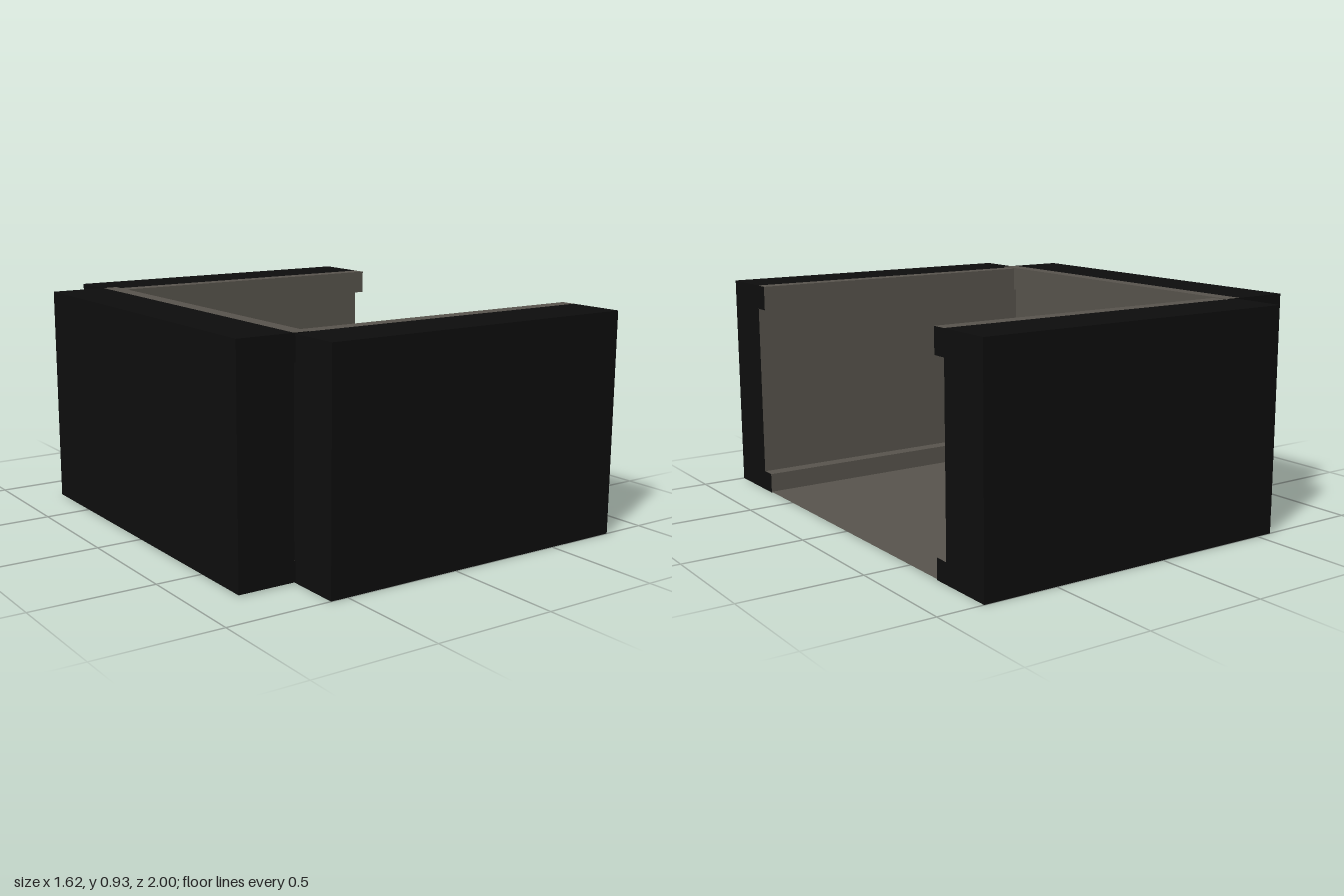
import * as THREE from 'three';
import { mergeGeometries } from 'three/addons/utils/BufferGeometryUtils.js';

const black = new THREE.MeshStandardMaterial({ color: 0x0d0d0d, side: THREE.DoubleSide });
black.name = 'black shell';
const grey = new THREE.MeshStandardMaterial({ color: 0x57534c, side: THREE.DoubleSide });
grey.name = 'warm grey lining';

// Flat strips that follow a (z, y) profile along the x axis
function ribbon(points, length) {
  const pos = [];
  const h = length / 2;
  for (let i = 0; i < points.length - 1; i++) {
    const [az, ay] = points[i];
    const [bz, by] = points[i + 1];
    pos.push(-h, ay, az, -h, by, bz, h, by, bz);
    pos.push(-h, ay, az, h, by, bz, h, ay, az);
  }
  const g = new THREE.BufferGeometry();
  g.setAttribute('position', new THREE.Float32BufferAttribute(pos, 3));
  g.computeVertexNormals();
  return g;
}

// C-shaped wall facing local +z: black outside and ends, grey lining with two lips
function wall(name, length, lip, recess, outer, bottom, top) {
  const lipLow = 0.085, lipHigh = 0.82;
  const shell = [[recess, top], [outer, top], [outer, bottom], [lip, bottom]];
  const lining = [
    [lip, bottom], [lip, lipLow], [recess, lipLow], [recess, lipHigh],
    [lip, lipHigh], [lip, top], [recess, top],
  ];
  const outline = [...shell, ...lining.slice(1, -1)].map(([z, y]) => new THREE.Vector2(z, y));
  const group = new THREE.Group();
  group.name = name;

  const ends = [-1, 1].map((s) => {
    const g = new THREE.ShapeGeometry(new THREE.Shape(outline)).toNonIndexed();
    g.deleteAttribute('uv');
    // turn each cap to face away from the wall's middle
    g.rotateY(-Math.PI / 2);
    if (s > 0) {
      const p = g.attributes.position, n = g.attributes.normal;
      for (let i = 0; i < p.count; i += 3) {
        const b = new THREE.Vector3().fromBufferAttribute(p, i + 1);
        const c = new THREE.Vector3().fromBufferAttribute(p, i + 2);
        p.setXYZ(i + 1, c.x, c.y, c.z);
        p.setXYZ(i + 2, b.x, b.y, b.z);
      }
      for (let i = 0; i < n.count; i++) n.setXYZ(i, 1, 0, 0);
    }
    return g.translate(s * length / 2, 0, 0);
  });

  const shellMesh = new THREE.Mesh(mergeGeometries([ribbon(shell, length), ...ends]), black);
  shellMesh.name = name + 'Shell';
  const liningMesh = new THREE.Mesh(ribbon(lining, length), grey);
  liningMesh.name = name + 'Lining';
  group.add(shellMesh, liningMesh);
  return group;
}

export function createModel() {
  const model = new THREE.Group();
  model.name = 'openTray';

  // Front and back walls
  const xMin = -0.572, xMax = 0.81;
  for (const [name, turn] of [['frontWall', 0], ['backWall', Math.PI]]) {
    const w = wall(name, xMax - xMin, 0.697, 0.76, 1, 0, 0.922);
    w.rotation.y = turn;
    w.position.x = (xMin + xMax) / 2;
    model.add(w);
  }

  // Side wall on -x, a hair higher than its neighbours
  const side = wall('sideWall', 1.55, 0.513, 0.578, 0.815, 0.004, 0.926);
  side.rotation.y = -Math.PI / 2;
  model.add(side);

  // Thin floor between the walls, open towards +x
  const floor = new THREE.Mesh(new THREE.PlaneGeometry(0.81 + 0.513, 1.394), grey);
  floor.name = 'floor';
  floor.rotation.x = -Math.PI / 2;
  floor.position.set((0.81 - 0.513) / 2, 0.004, 0);
  model.add(floor);

  return model;
}
